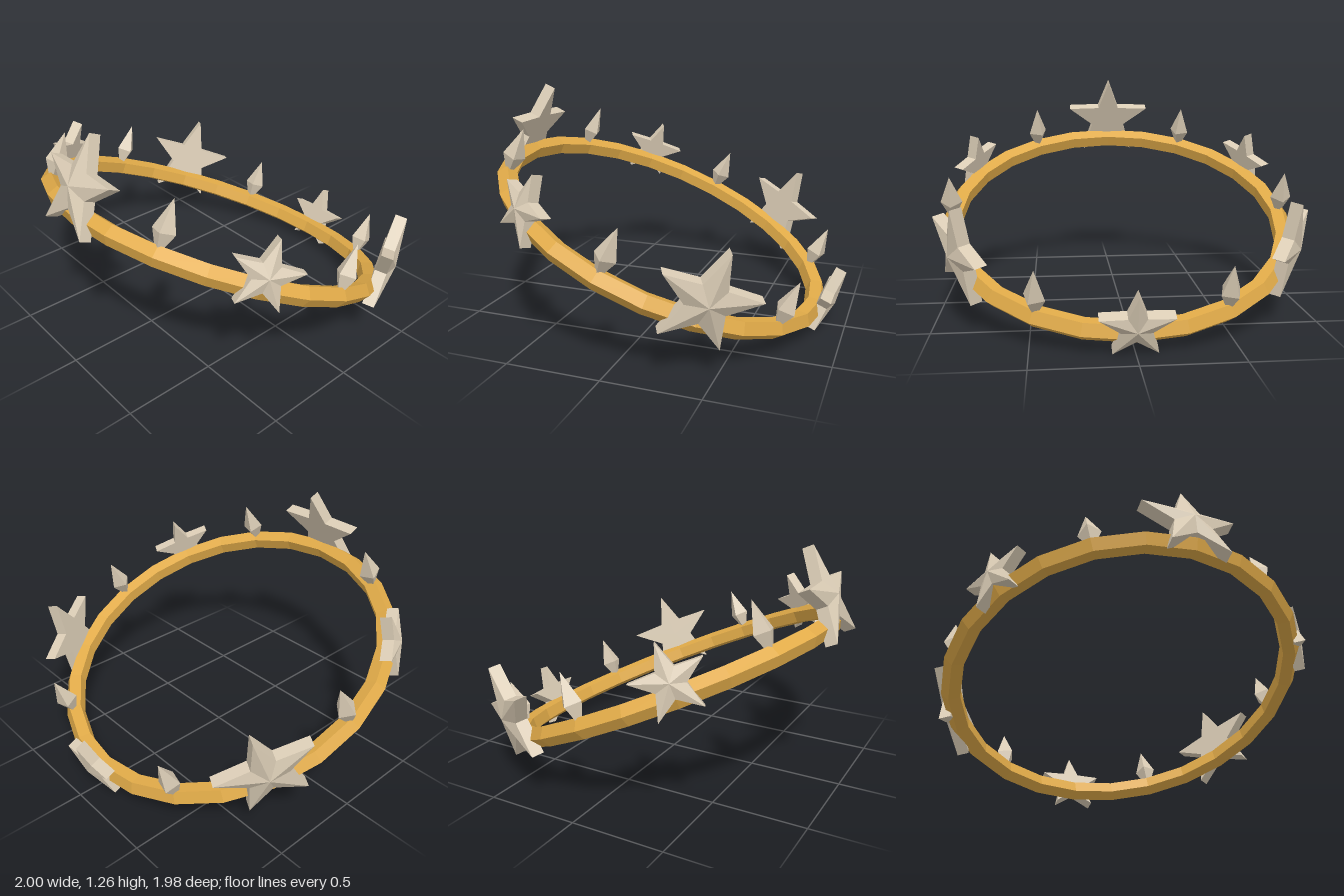
import * as THREE from 'three';

const gold = new THREE.MeshStandardMaterial({ name: 'gold', color: 0xe0aa48, flatShading: true });
const cream = new THREE.MeshStandardMaterial({ name: 'cream', color: 0xd9cbb4, flatShading: true });

// Five-pointed star plate facing +z, flat behind, with a raised centre in front
function starGeometry(radius, depth, bulge) {
  const ring = (z) => Array.from({ length: 10 }, (_, i) => {
    const r = i % 2 ? radius * 0.41 : radius;
    const a = Math.PI / 2 + (i * Math.PI) / 5;
    return new THREE.Vector3(r * Math.cos(a), r * Math.sin(a), z);
  });
  const front = ring(depth / 2), back = ring(-depth / 2);
  const peak = new THREE.Vector3(0, 0, depth / 2 + bulge);
  const hub = new THREE.Vector3(0, 0, -depth / 2);
  const points = [];
  for (let i = 0; i < 10; i++) {
    const j = (i + 1) % 10;
    points.push(peak, front[i], front[j]);
    points.push(hub, back[j], back[i]);
    points.push(back[i], back[j], front[j], back[i], front[j], front[i]);
  }
  const geometry = new THREE.BufferGeometry().setFromPoints(points);
  geometry.computeVertexNormals();
  return geometry;
}

// Four-sided gem: a tall upper point and a shorter lower point
function gemGeometry() {
  return new THREE.LatheGeometry([
    new THREE.Vector2(0, -0.01),
    new THREE.Vector2(0.06, 0.12),
    new THREE.Vector2(0, 0.28),
  ], 4).toNonIndexed();
}

export function createModel() {
  const model = new THREE.Group();
  model.name = 'starCirclet';
  const crown = new THREE.Group();
  crown.name = 'tiltedCrown';
  crown.position.set(0, 0.48, 0.033);
  crown.rotation.x = -0.42;
  model.add(crown);

  // Band
  const band = new THREE.Mesh(new THREE.TorusGeometry(0.94, 0.056, 5, 24).rotateX(-Math.PI / 2), gold);
  band.name = 'band';
  crown.add(band);

  // Ornaments: large and small stars alternate, with a gem between each pair
  const largeStar = starGeometry(0.268, 0.064, 0.036);
  const smallStar = starGeometry(0.188, 0.06, 0.028);
  const gem = gemGeometry();
  const place = (name, geometry, angle, radius, height) => {
    const mesh = new THREE.Mesh(geometry, cream);
    mesh.name = name;
    mesh.position.set(radius * Math.sin(angle), height, radius * Math.cos(angle));
    mesh.rotation.y = angle;
    crown.add(mesh);
  };
  for (let i = 0; i < 6; i++) {
    const angle = (i * Math.PI) / 3;
    if (i % 2 === 0) place('largeStar', largeStar, angle, 0.975, 0.137);
    else place('smallStar', smallStar, angle, 0.975, 0.076);
    place('gem', gem, angle + Math.PI / 6, 0.94, 0);
  }
  return model;
}
